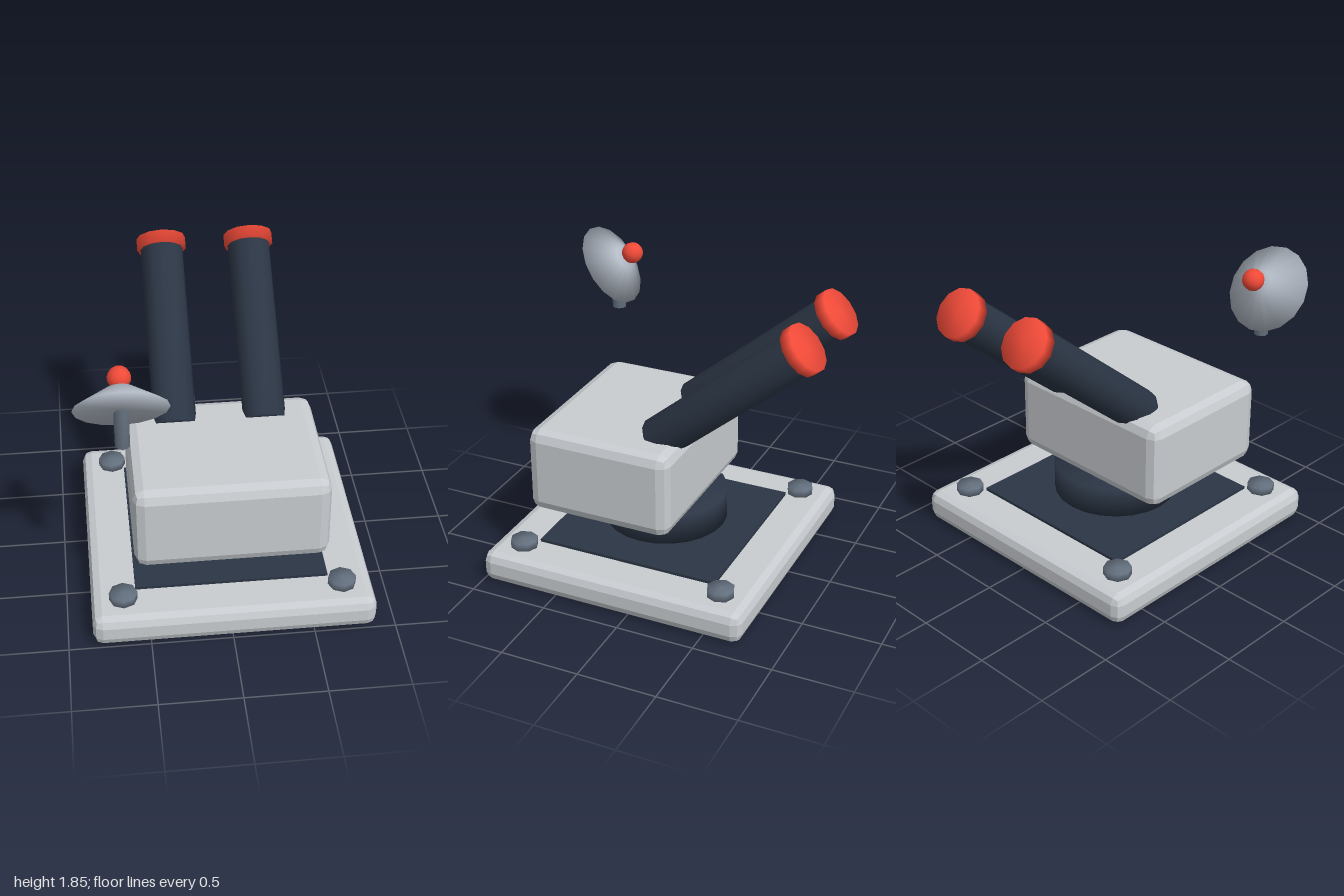
import * as THREE from 'three';
import { mergeVertices } from 'three/addons/utils/BufferGeometryUtils.js';
import { RoundedBoxGeometry } from 'three/addons/geometries/RoundedBoxGeometry.js';

const CX = 0.018, CZ = 0.127; // centre of the base

const material = (color, flatShading = false) => new THREE.MeshStandardMaterial({ color, flatShading });
const hull = material(0xc8ccd0, true);
const dark = material(0x2b3544);
const darkFlat = material(0x2b3544, true);
const steel = material(0x64707f);
const silver = material(0xb2bac5);
const red = material(0xf04a38);

// Cylinder whose normals are smoothed over its rims
function softCylinder(rTop, rBottom, height, sides) {
  const g = new THREE.CylinderGeometry(rTop, rBottom, height, sides);
  g.deleteAttribute('normal');
  g.deleteAttribute('uv');
  const merged = mergeVertices(g);
  merged.computeVertexNormals();
  return merged;
}

function add(parent, name, geometry, mat, x, y, z) {
  const mesh = new THREE.Mesh(geometry, mat);
  mesh.name = name;
  mesh.position.set(x, y, z);
  parent.add(mesh);
  return mesh;
}

export function createModel() {
  const model = new THREE.Group();
  model.name = 'gunTurret';

  // Base slab with thin dark deck plate
  add(model, 'base', new RoundedBoxGeometry(1.735, 0.2, 1.745, 1, 0.06), hull, CX, 0.1, CZ);
  add(model, 'deckPlate', new THREE.BoxGeometry(1.19, 0.03, 1.2), darkFlat, CX, 0.203, CZ);

  // Octagonal corner bolts
  const boltGeometry = softCylinder(0.087, 0.087, 0.06, 8);
  for (const sx of [-1, 1]) {
    for (const sz of [-1, 1]) {
      add(model, 'bolt', boltGeometry, steel, CX + sx * 0.672, 0.22, CZ + sz * 0.672);
    }
  }

  // Swivel ring and turret housing
  add(model, 'swivelRing', softCylinder(0.395, 0.395, 0.195, 24), dark, CX, 0.3425, CZ);
  add(model, 'housing', new RoundedBoxGeometry(1.185, 0.555, 0.95, 1, 0.07), hull, CX, 0.6975, 0.325);

  // Twin barrels raised 40 degrees towards the back, with muzzle caps
  const barrelGeometry = softCylinder(0.134, 0.134, 1.17, 12);
  const muzzleGeometry = softCylinder(0.156, 0.156, 0.075, 12);
  for (const side of [-1, 1]) {
    const gun = new THREE.Group();
    gun.name = side < 0 ? 'rightGun' : 'leftGun';
    gun.position.set(CX + side * 0.28, 0.936, 0.048);
    gun.rotation.x = THREE.MathUtils.degToRad(-50);
    add(gun, 'barrel', barrelGeometry, dark, 0, 0.585, 0);
    add(gun, 'muzzle', muzzleGeometry, red, 0, 1.193, 0);
    model.add(gun);
  }

  // Tilted radar dish with a ball at its tip, on a short mast
  add(model, 'dishMast', softCylinder(0.045, 0.045, 0.275, 10), steel, -0.615, 1.4725, 0.762);
  const dish = new THREE.Group();
  dish.name = 'radarDish';
  dish.position.set(-0.615, 1.62, 0.81);
  dish.rotation.x = THREE.MathUtils.degToRad(-54.8);
  add(dish, 'dishCone', softCylinder(0.08, 0.274, 0.12, 16), silver, 0, 0.06, 0);
  add(dish, 'dishBall', new THREE.SphereGeometry(0.069, 12, 8), red, 0, 0.185, 0);
  model.add(dish);

  return model;
}
